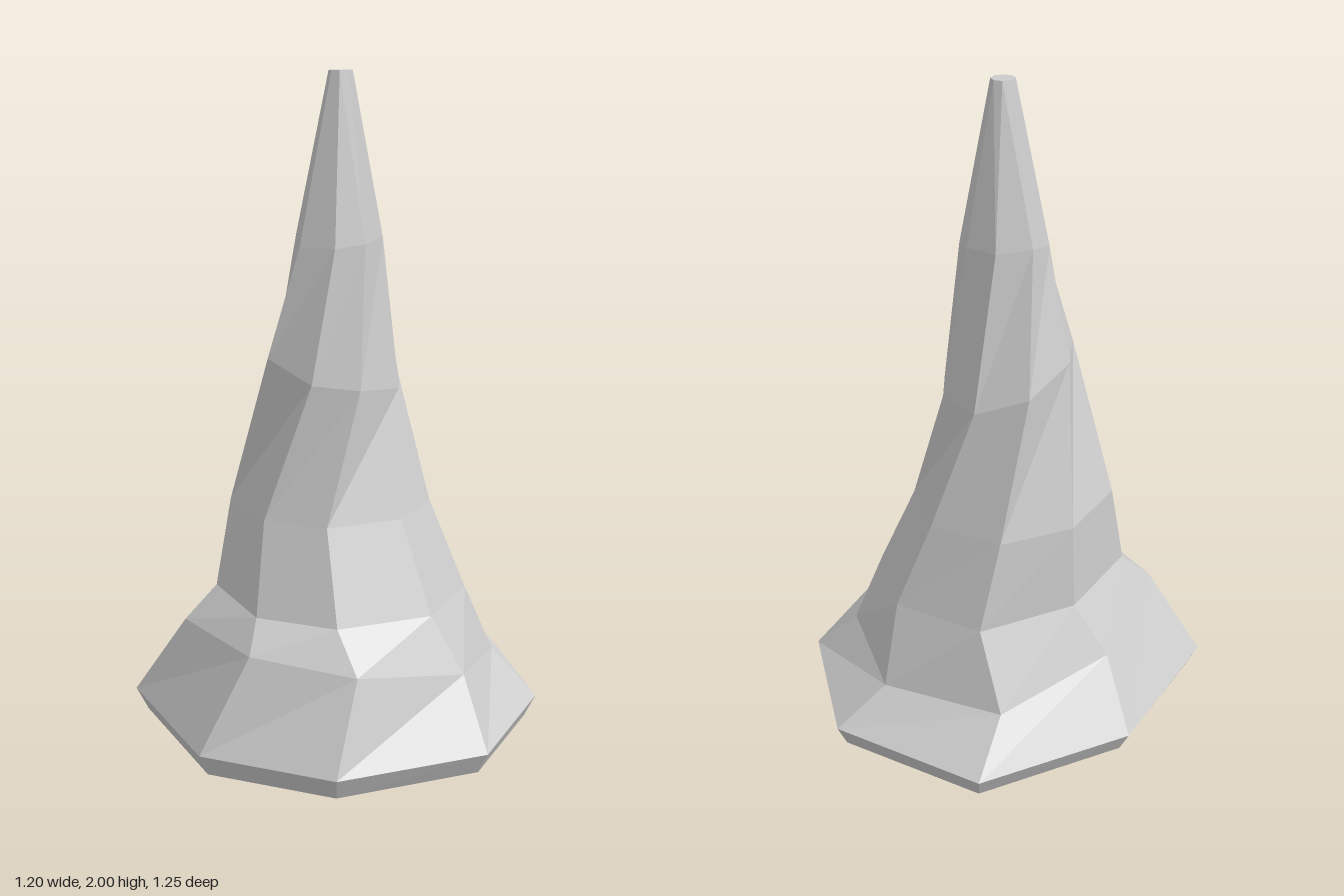
import * as THREE from 'three';

const SIDES = 8;

// One cross-section: x,z pairs around the spire, with one height or one per corner
function ring(xz, heights) {
  return Array.from({ length: SIDES }, (_, i) => new THREE.Vector3(
    xz[2 * i], Array.isArray(heights) ? heights[i] : heights, xz[2 * i + 1]));
}

// Flat-shaded skin through the rings, closed at both ends
function loft(rings) {
  const pos = [];
  const tri = (...pts) => pts.forEach((p) => pos.push(p.x, p.y, p.z));
  for (let r = 0; r < rings.length - 1; r++) {
    for (let i = 0; i < SIDES; i++) {
      const j = (i + 1) % SIDES;
      const a = rings[r][i], b = rings[r][j], c = rings[r + 1][j], d = rings[r + 1][i];
      tri(a, d, b);
      tri(b, d, c);
    }
  }
  const bottom = rings[0], top = rings[rings.length - 1];
  for (let i = 1; i < SIDES - 1; i++) {
    tri(bottom[0], bottom[i], bottom[i + 1]);
    tri(top[0], top[i + 1], top[i]);
  }
  const geo = new THREE.BufferGeometry();
  geo.setAttribute('position', new THREE.Float32BufferAttribute(pos, 3));
  geo.computeVertexNormals();
  return geo;
}

export function createModel() {
  // Corners run from the back, by the left side, round the front
  const rim = ring([0.04, -0.63, 0.44, -0.4, 0.6, 0, 0.42, 0.43,
    0.04, 0.625, -0.46, 0.5, -0.6, 0, -0.44, -0.48], 0.07);
  // Undercut foot below the rim
  const foot = rim.map((p) => new THREE.Vector3(p.x * 0.94, 0, p.z * 0.95));
  const skirt = ring([-0.01, -0.475, 0.31, -0.333, 0.457, -0.045, 0.36, 0.295,
    0.087, 0.47, -0.307, 0.41, -0.453, 0.05, -0.373, -0.327],
  [0.185, 0.21, 0.26, 0.32, 0.35, 0.33, 0.27, 0.2]);
  const waist = ring([0.023, -0.39, 0.263, -0.25, 0.363, 0, 0.25, 0.273,
    0.023, 0.39, -0.27, 0.313, -0.355, 0, -0.257, -0.303], 0.43);
  const body = ring([-0.04, -0.3, 0.153, -0.2, 0.233, 0, 0.147, 0.22,
    -0.033, 0.31, -0.27, 0.25, -0.34, 0, -0.257, -0.22], 0.7);
  // Twisted shoulder
  const shoulder = ring([-0.133, -0.207, 0.02, -0.19, 0.133, -0.083, 0.143, 0.083,
    0.06, 0.2, -0.103, 0.23, -0.227, 0.087, -0.25, -0.1],
  [1.08, 1.08, 1.07, 1.09, 1.11, 1.17, 1.18, 1.13]);
  const neck = ring([-0.12, -0.11, -0.02, -0.127, 0.063, -0.08, 0.097, 0.023,
    0.06, 0.107, -0.043, 0.153, -0.137, 0.087, -0.18, -0.023],
  [1.54, 1.54, 1.52, 1.51, 1.5, 1.5, 1.52, 1.55]);
  // Small blunt tip, leaning to one side
  const tip = Array.from({ length: SIDES }, (_, i) => {
    const a = -Math.PI / 2 + (i / SIDES) * Math.PI * 2;
    return new THREE.Vector3(-0.03 + 0.034 * Math.cos(a), 2, 0.003 + 0.036 * Math.sin(a));
  });

  const spire = new THREE.Mesh(
    loft([foot, rim, skirt, waist, body, shoulder, neck, tip]),
    new THREE.MeshStandardMaterial({ color: 0xcccccc, flatShading: true }));
  spire.name = 'rockSpire';
  const group = new THREE.Group();
  group.name = 'stalagmite';
  group.add(spire);
  return group;
}
